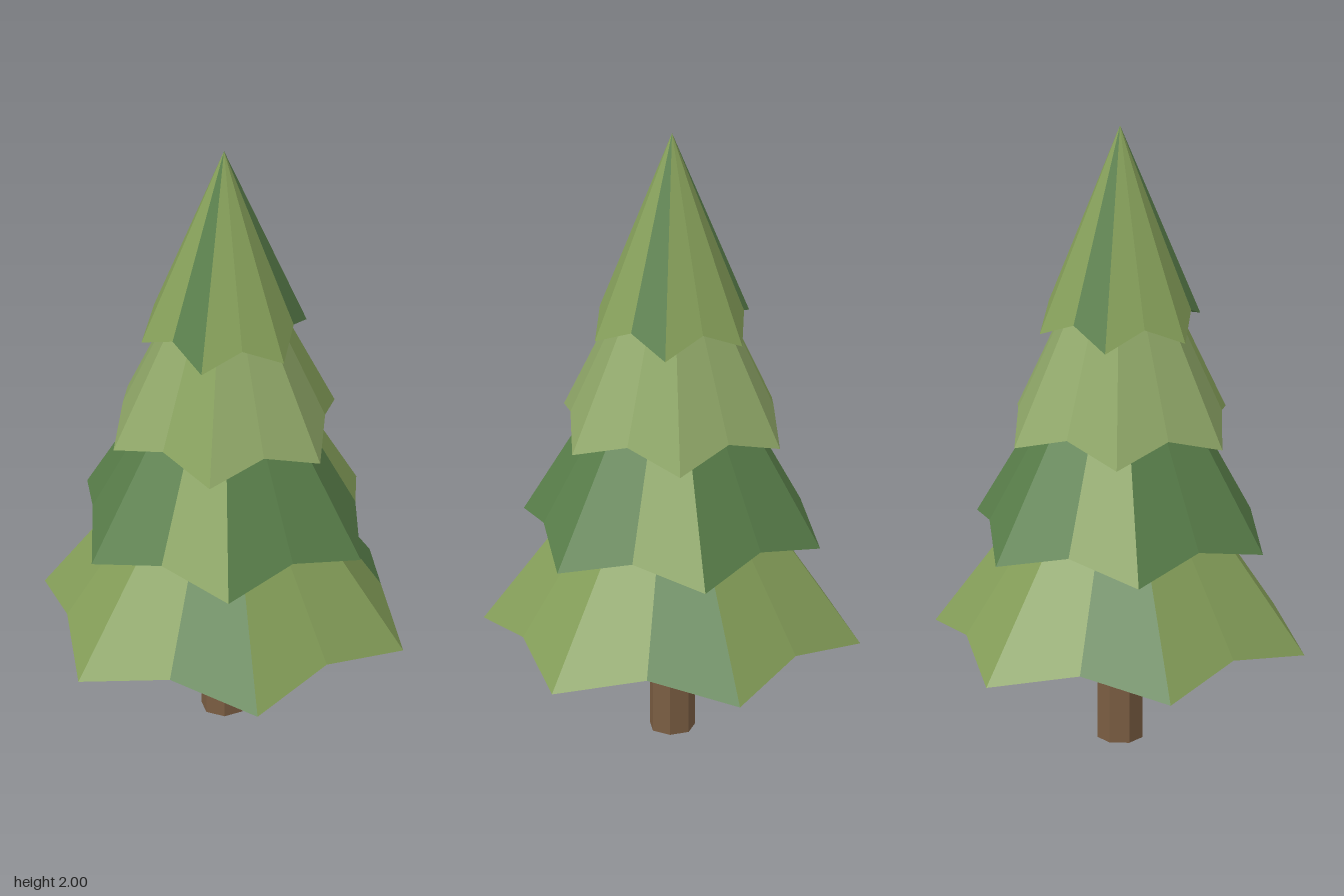
import * as THREE from 'three';

const OLIVE = 0x86a05a, GREEN = 0x5a804b, PALE = 0x90a868, BARK = 0x7a5d42;

// Tiers from bottom to top: tip and notch rings, apex height, main and accent colours
const TIERS = [
  { name: 'bottomBranches', tipR: 0.58, notchR: 0.485, y: 0.32, apex: 1.15, main: OLIVE, accent: GREEN },
  { name: 'lowerBranches', tipR: 0.473, notchR: 0.4, y: 0.665, apex: 1.5, main: GREEN, accent: OLIVE },
  { name: 'upperBranches', tipR: 0.366, notchR: 0.31, y: 1.01, apex: 1.79, main: PALE, accent: OLIVE },
  { name: 'topBranches', tipR: 0.26, notchR: 0.22, y: 1.35, apex: 2, main: OLIVE, accent: GREEN },
];
const SIDES = 12;
const NOTCH_RISE = 0.06;
const TWIST = THREE.MathUtils.degToRad(8.5);

function facetMesh(name, points, color) {
  const geometry = new THREE.BufferGeometry().setFromPoints(points);
  geometry.computeVertexNormals();
  const mesh = new THREE.Mesh(geometry, new THREE.MeshStandardMaterial({ color, flatShading: true }));
  mesh.name = name;
  return mesh;
}

// One star-edged cone: every fourth facet and the underside take the accent colour
function makeTier(tier, index) {
  const ring = Array.from({ length: SIDES }, (_, k) => {
    const angle = index * TWIST + (k / SIDES) * Math.PI * 2;
    const r = k % 2 ? tier.notchR : tier.tipR;
    const y = tier.y + (k % 2 ? NOTCH_RISE : 0);
    return new THREE.Vector3(r * Math.cos(angle), y, r * Math.sin(angle));
  });
  const apex = new THREE.Vector3(0, tier.apex, 0);
  const under = new THREE.Vector3(0, tier.y + NOTCH_RISE, 0);
  const main = [], accent = [];
  ring.forEach((a, k) => {
    const b = ring[(k + 1) % SIDES];
    (k % 4 ? main : accent).push(a, apex, b);
    accent.push(a, b, under);
  });

  const group = new THREE.Group();
  group.name = tier.name;
  group.add(
    facetMesh('foliage', main, tier.main),
    facetMesh('accentFoliage', accent, tier.accent),
  );
  return group;
}

export function createModel() {
  const model = new THREE.Group();
  model.name = 'pineTree';

  // Seven-sided trunk running up through the tiers
  const height = 1.81;
  const trunk = new THREE.Mesh(
    new THREE.CylinderGeometry(0.07, 0.07, height, 7, 1, false, -Math.PI / 2),
    new THREE.MeshStandardMaterial({ color: BARK, flatShading: true }),
  );
  trunk.name = 'trunk';
  trunk.position.y = height / 2;
  model.add(trunk);

  TIERS.forEach((tier, i) => model.add(makeTier(tier, i)));
  return model;
}
